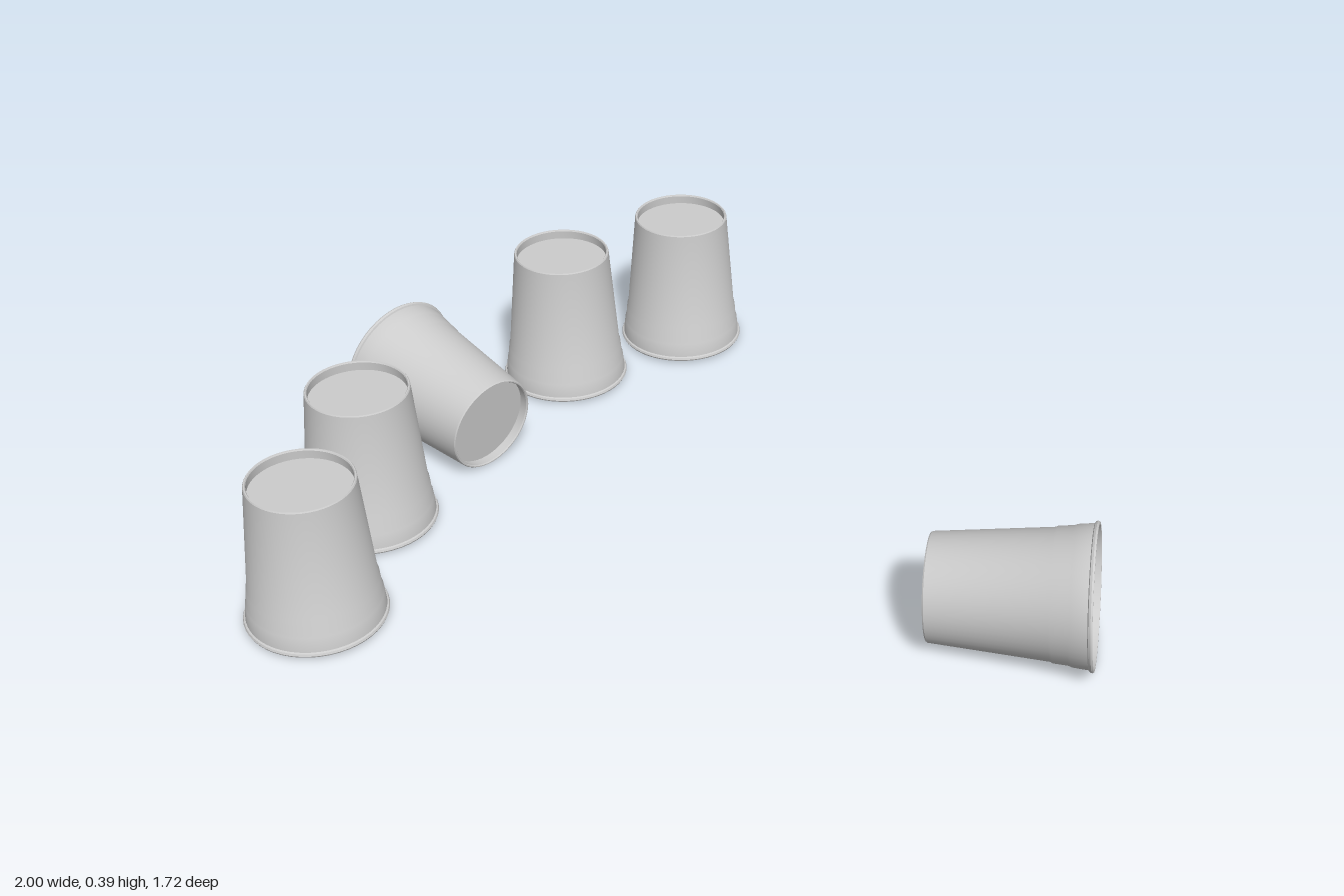
import * as THREE from 'three';
import { toCreasedNormals } from 'three/addons/utils/BufferGeometryUtils.js';

const H = 0.377;        // cup height
const UP = new THREE.Vector3(0, 1, 0);

// Upturned cup: rim at y = 0, base at y = H
function cupGeometry() {
  const profile = [
    [0, H - 0.031], [0.119, H - 0.031],                   // inner floor
    [0.148, 0.097], [0.151, 0.091], [0.154, 0.055],       // inner wall
    [0.157, 0.049], [0.161, 0.004],
    [0.163, 0], [0.169, 0], [0.171, 0.004], [0.169, 0.009], // rolled lip
    [0.165, 0.011], [0.161, 0.049], [0.158, 0.055],       // outer wall with two steps
    [0.155, 0.091], [0.152, 0.097],
    [0.128, H - 0.003], [0.126, H], [0.123, H],           // foot ring
    [0.121, H - 0.003], [0.122, H - 0.025], [0, H - 0.025], // recessed base
  ].map(([x, y]) => new THREE.Vector2(x, y));
  return toCreasedNormals(new THREE.LatheGeometry(profile, 48), 0.5);
}

export function createModel() {
  const group = new THREE.Group();
  const geometry = cupGeometry();
  const material = new THREE.MeshStandardMaterial({ color: 0xcccccc });

  // Place a cup by the centre of its rim and the direction towards its base
  function addCup(name, rim, axis) {
    const cup = new THREE.Mesh(geometry, material);
    cup.name = name;
    cup.position.set(...rim);
    cup.quaternion.setFromUnitVectors(UP, new THREE.Vector3(...axis).normalize());
    group.add(cup);
  }

  // Standing cups, upside down
  [[-0.829, 0.652], [-0.78, 0.262], [-0.369, -0.456], [-0.06, -0.69]].forEach(([x, z], i) =>
    addCup(`standingCup${i + 1}`, [x, 0.01, z], [0, 1, 0]));

  // Cups lying on their sides
  addCup('lyingCupLeftOpen', [0.967, 0.172, 0.688], [-0.377, -0.042, -0.067]);
  addCup('lyingCupBackOpen', [-0.79, 0.172, -0.222], [0.29, -0.042, 0.24]);

  return group;
}
